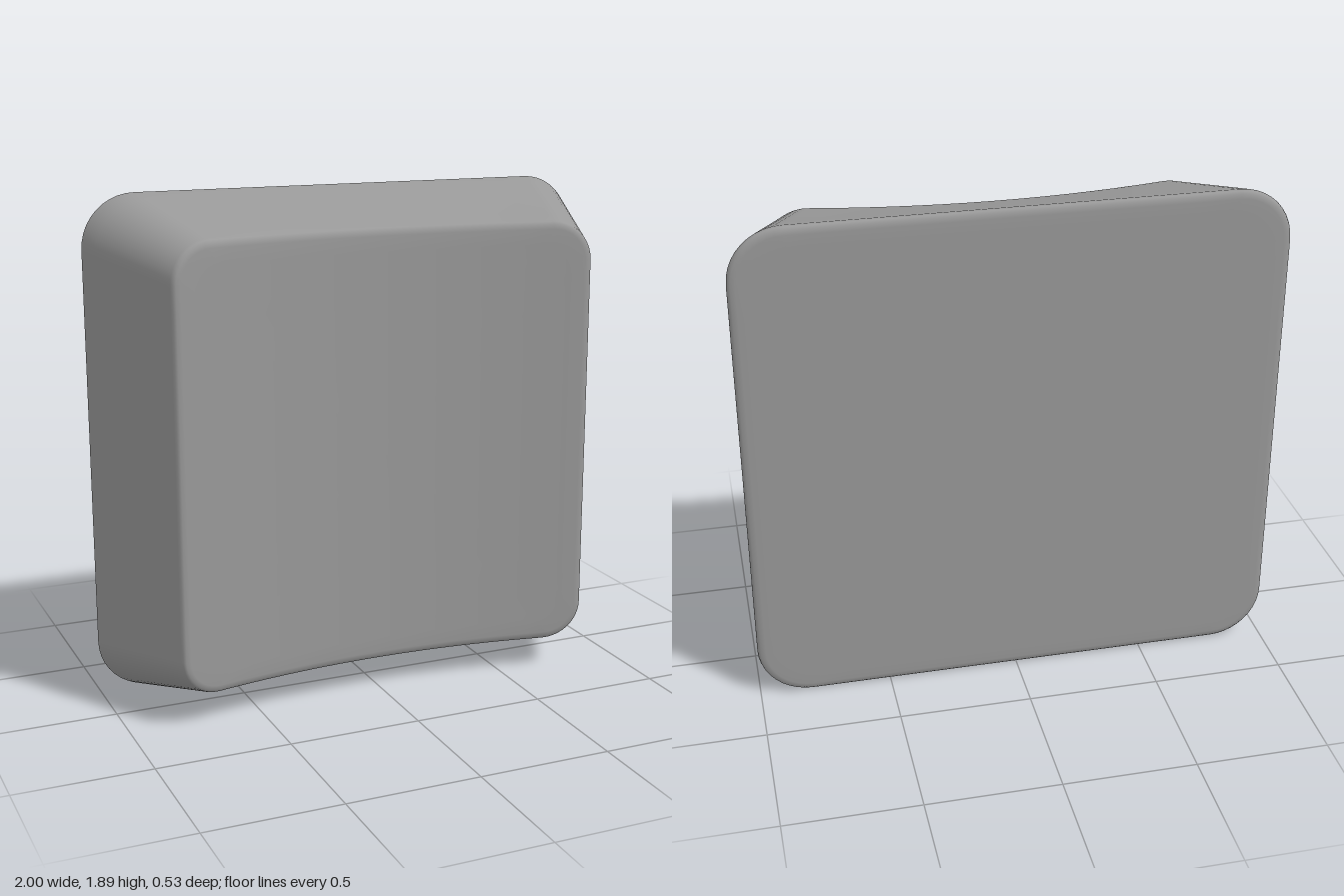
import * as THREE from 'three';

const CORNER = 10, EDGE = 14; // steps per rounded corner and per straight edge
const MID_Y = 0.947;

// Counter-clockwise rounded rectangle, the same point count for any size
function outline(hx, hy, r) {
  const pts = [];
  const corners = [[1, 1], [-1, 1], [-1, -1], [1, -1]];
  const at = (q, a) => new THREE.Vector2(
    corners[q][0] * (hx - r) + r * Math.cos(a),
    corners[q][1] * (hy - r) + r * Math.sin(a));
  for (let q = 0; q < 4; q++) {
    const a0 = q * Math.PI / 2, a1 = a0 + Math.PI / 2;
    for (let i = 0; i < CORNER; i++) pts.push(at(q, a0 + (a1 - a0) * i / CORNER));
    const from = at(q, a1), to = at((q + 1) % 4, a1);
    for (let i = 0; i < EDGE; i++) pts.push(from.clone().lerp(to, i / EDGE));
  }
  return pts;
}

// Cylindrical hollow across the front face
const dish = x => 0.166 + 0.155 * x * x;

function capGeometry() {
  const BACK = [1, 0.947, 0.2], FRONT = [0.82, 0.828, 0.15];
  const ring = ([hx, hy, r], inset, scale, zAt) =>
    outline(hx - inset, hy - inset, r - inset)
      .map(p => p.multiplyScalar(scale))
      .map(p => [p.x, p.y + MID_Y, zAt(p.x)]);

  // flat back and its small rounded edge
  const rings = [0.5, 0.95, 1].map(s => ring(BACK, 0.03, s, () => -0.264));
  rings.push(ring(BACK, 0.012, 1, () => -0.261));
  rings.push(ring(BACK, 0.003, 1, () => -0.253));
  // straight tapering walls that rise to the hollow
  const wallBack = ring(BACK, 0, 1, () => -0.242);
  const wallFront = ring(FRONT, 0, 1, x => dish(x) - 0.025);
  for (let i = 0; i <= 6; i++) {
    rings.push(wallBack.map((p, j) =>
      p.map((v, k) => THREE.MathUtils.lerp(v, wallFront[j][k], i / 6))));
  }
  // rounded front edge
  rings.push(ring(FRONT, 0.005, 1, x => dish(x) - 0.012));
  rings.push(ring(FRONT, 0.015, 1, x => dish(x) - 0.004));
  // hollow front face
  for (let i = 0; i < 14; i++) rings.push(ring(FRONT, 0.032, 1 - i / 14, dish));

  const n = rings[0].length, last = (rings.length - 1) * n;
  const positions = rings.flat(2), index = [];
  for (let j = 0; j < rings.length - 1; j++) {
    for (let i = 0; i < n; i++) {
      const a = j * n + i, b = j * n + (i + 1) % n;
      index.push(a, b, b + n, a, b + n, a + n);
    }
  }
  // centre points close both faces
  const backMid = rings.length * n, frontMid = backMid + 1;
  positions.push(0, MID_Y, -0.264, 0, MID_Y, dish(0));
  for (let i = 0; i < n; i++) {
    const k = (i + 1) % n;
    index.push(backMid, k, i, frontMid, last + i, last + k);
  }
  const geometry = new THREE.BufferGeometry();
  geometry.setAttribute('position', new THREE.Float32BufferAttribute(positions, 3));
  geometry.setIndex(index);
  geometry.computeVertexNormals();
  return geometry;
}

export function createModel() {
  const group = new THREE.Group();
  group.name = 'keycap';
  const body = new THREE.Mesh(capGeometry(), new THREE.MeshStandardMaterial({ color: 0x999999 }));
  body.name = 'capBody';
  group.add(body);
  return group;
}
